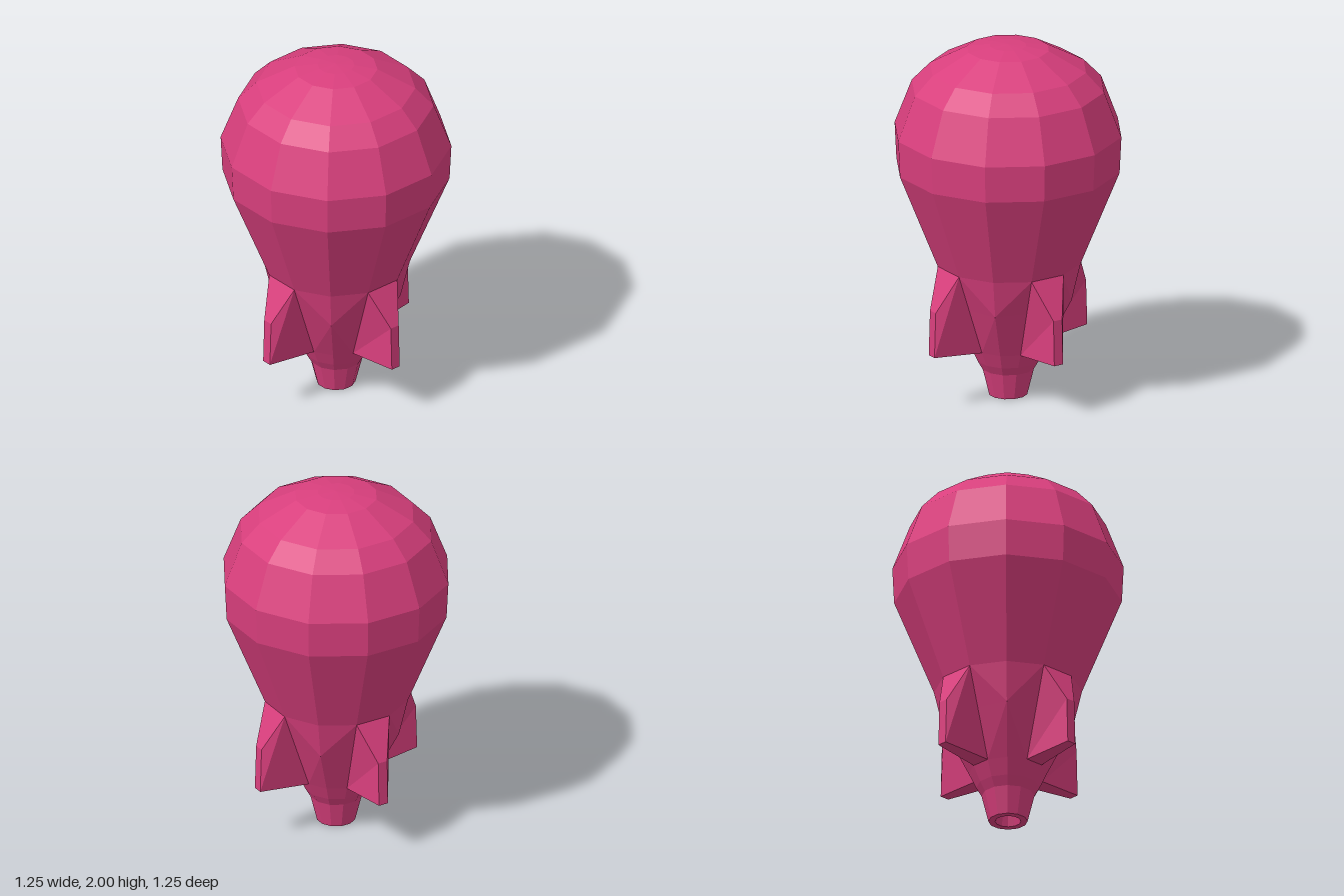
import * as THREE from 'three';

const SIDES = 12;
const STEP = (Math.PI * 2) / SIDES;

// [radius, height] from inside the nozzle, round its rim and up to the crown
const PROFILE = [
  [0, 0.13], [0.04, 0.13], [0.07, 0], [0.106, 0], [0.143, 0.15], [0.172, 0.2],
  [0.212, 0.285], [0.316, 0.555], [0.4, 0.77], [0.615, 1.305], [0.625, 1.51],
  [0.53, 1.76], [0.43, 1.865], [0.225, 1.975], [0.1, 1.995], [0, 2],
];
const BULGE_ROW = 7; // between the fins the hull bulges slightly here
const BULGE_RADIUS = 0.35;

function hullGeometry() {
  const isBulge = (j) => j % 3 === 2;
  const point = (i, j) => {
    const [r, y] = PROFILE[i];
    const radius = i === BULGE_ROW && isBulge(j) ? BULGE_RADIUS : r;
    return [radius * Math.sin(j * STEP), y, radius * Math.cos(j * STEP)];
  };
  const positions = [];
  const tri = (...corners) => corners.forEach((c) => positions.push(...c));

  for (let i = 0; i < PROFILE.length - 1; i++) {
    for (let j = 0; j < SIDES; j++) {
      const a = point(i, j), b = point(i, j + 1);
      const c = point(i + 1, j + 1), d = point(i + 1, j);
      // creases run out from the bulge points
      const flip = (i === BULGE_ROW && isBulge(j + 1)) || (i + 1 === BULGE_ROW && isBulge(j));
      if (PROFILE[i][0] === 0) tri(a, c, d);
      else if (PROFILE[i + 1][0] === 0) tri(a, b, c);
      else if (flip) { tri(a, b, d); tri(b, c, d); }
      else { tri(a, b, c); tri(a, c, d); }
    }
  }
  const geometry = new THREE.BufferGeometry();
  geometry.setAttribute('position', new THREE.Float32BufferAttribute(positions, 3));
  geometry.computeVertexNormals();
  return geometry;
}

// Box tapered from a full hull panel out to a narrow tip
function finGeometry() {
  const geometry = new THREE.BoxGeometry(2, 2, 2).toNonIndexed();
  const p = geometry.attributes.position;
  const sin = Math.sin(STEP / 2), cos = Math.cos(STEP / 2);
  for (let k = 0; k < p.count; k++) {
    const side = Math.sign(p.getX(k));
    const top = p.getY(k) > 0;
    if (p.getZ(k) > 0) {
      p.setXYZ(k, side * 0.028, top ? 0.56 : 0.305, top ? 0.487 : 0.495);
    } else {
      const r = top ? 0.4 : 0.212;
      p.setXYZ(k, side * r * sin, top ? 0.77 : 0.285, r * cos);
    }
  }
  geometry.computeVertexNormals();
  return geometry;
}

export function createModel() {
  const model = new THREE.Group();
  model.name = 'finnedBomb';
  const material = new THREE.MeshStandardMaterial({ color: 0xd93f7d });
  material.flatShading = true;

  const hull = new THREE.Mesh(hullGeometry(), material);
  hull.name = 'hull';
  model.add(hull);

  // Four fins, each on the panel just beside an axis
  const fins = new THREE.Group();
  fins.name = 'fins';
  const geometry = finGeometry();
  for (let n = 0; n < 4; n++) {
    const fin = new THREE.Mesh(geometry, material);
    fin.name = `fin${n + 1}`;
    fin.rotation.y = STEP / 2 + (n * Math.PI) / 2;
    fins.add(fin);
  }
  model.add(fins);
  return model;
}
